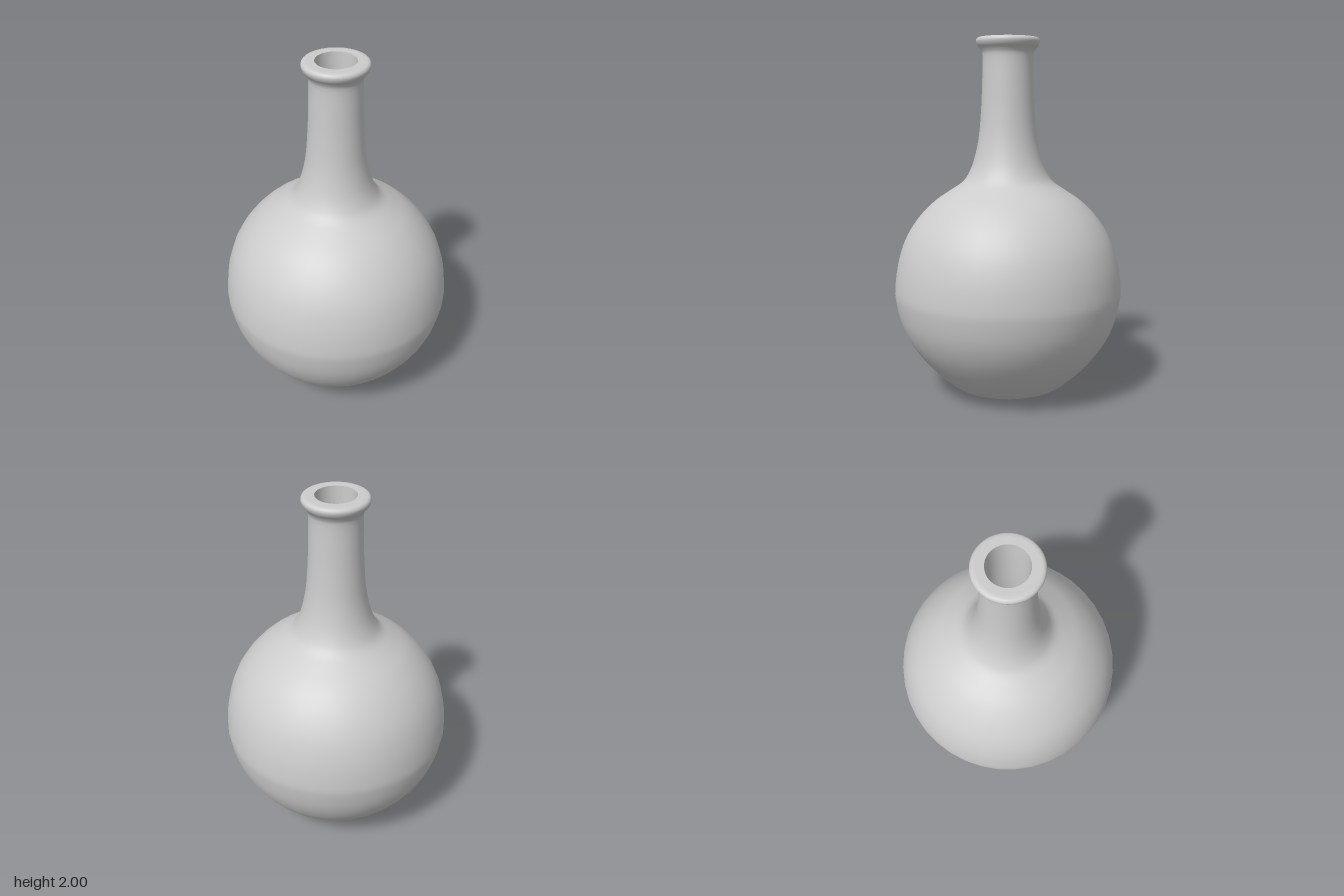
import * as THREE from 'three';

const SEGMENTS = 40;
const material = new THREE.MeshStandardMaterial({ color: 0xcccccc, side: THREE.DoubleSide });

// Smooth curve through a few [radius, height] points
function smooth(points, divisions) {
  return new THREE.SplineCurve(points.map(([r, y]) => new THREE.Vector2(r, y)))
    .getPoints(divisions)
    .map((p) => new THREE.Vector2(Math.max(p.x, 0), p.y));
}

function turned(name, profile) {
  const mesh = new THREE.Mesh(new THREE.LatheGeometry(profile, SEGMENTS), material);
  mesh.name = name;
  return mesh;
}

export function createModel() {
  const group = new THREE.Group();
  group.name = 'flask';

  // Outer shell: dimpled base, round body, flared neck and rolled lip
  group.add(turned('outerShell', smooth([
    [0, 0.018], [0.03, 0.014], [0.06, 0.004], [0.11, 0.002], [0.2, 0.016], [0.29, 0.036],
    [0.34, 0.065], [0.42, 0.135], [0.49, 0.21], [0.56, 0.31], [0.61, 0.42], [0.637, 0.54],
    [0.64, 0.62], [0.622, 0.75], [0.58, 0.88], [0.51, 0.995], [0.42, 1.09], [0.33, 1.153],
    [0.26, 1.2], [0.222, 1.25], [0.19, 1.33], [0.164, 1.45], [0.15, 1.6], [0.143, 1.75],
    [0.14, 1.89], [0.15, 1.93], [0.17, 1.957], [0.177, 1.98], [0.168, 1.996], [0.15, 2],
  ], 110)));

  // Flat top of the lip
  group.add(turned('rim', [new THREE.Vector2(0.15, 2), new THREE.Vector2(0.108, 2)]));

  // Hollow inside: bore of the neck, cavity of the body and its floor
  group.add(turned('innerWall', smooth([
    [0.108, 2], [0.105, 1.85], [0.11, 1.6], [0.13, 1.42], [0.17, 1.28], [0.24, 1.16],
    [0.38, 1.06], [0.51, 0.91], [0.585, 0.72], [0.595, 0.56], [0.55, 0.38], [0.45, 0.22],
    [0.32, 0.1], [0.2, 0.06], [0, 0.05],
  ], 60)));

  return group;
}
